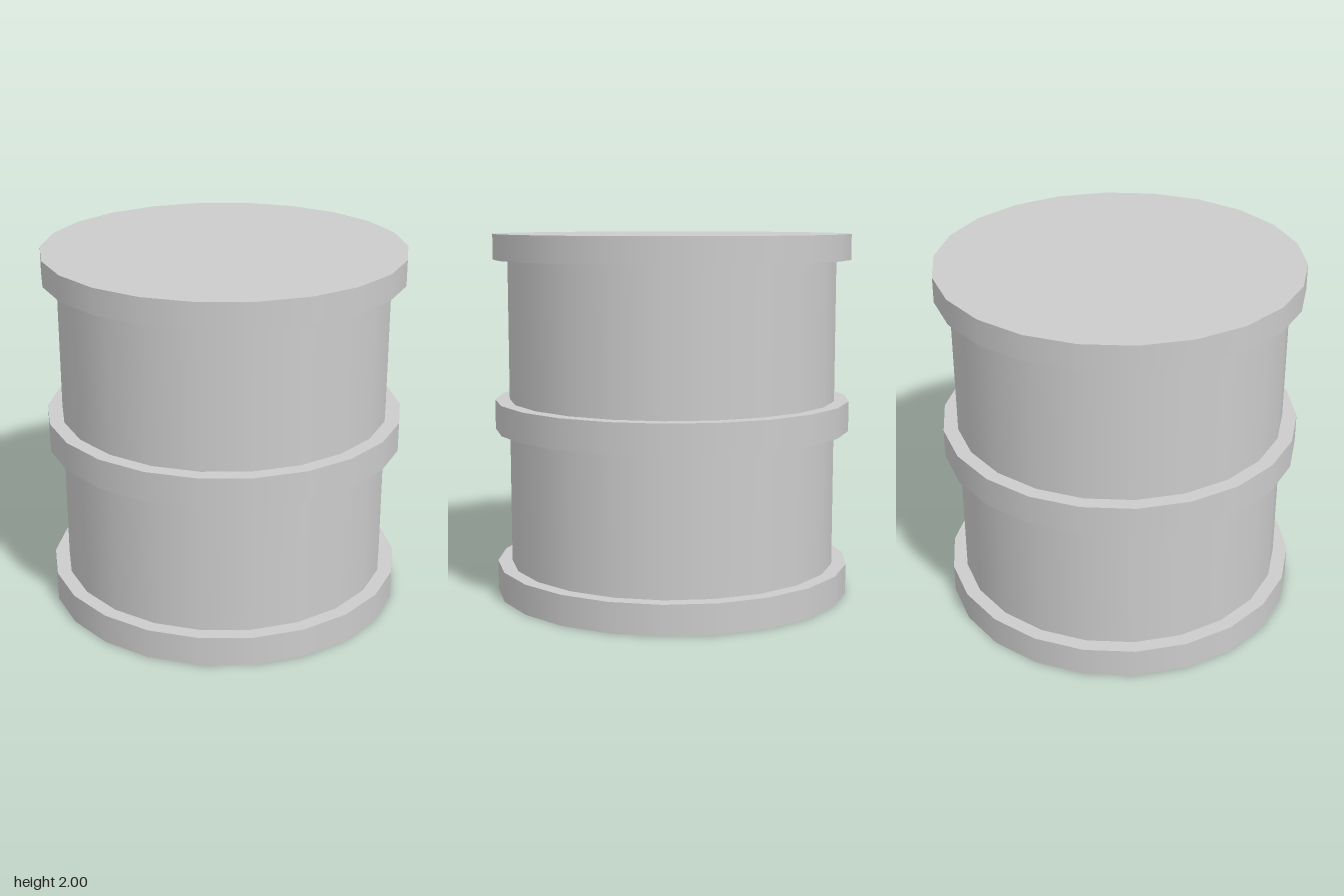
import * as THREE from 'three';

const SIDES = 22;

export function createModel() {
  const model = new THREE.Group();
  const material = new THREE.MeshStandardMaterial({ color: 0xcccccc });

  // Upright drum section between two heights, with a corner on each side (+x and -x)
  function addSection(name, radius, bottom, top, openEnded = false) {
    const geometry = new THREE.CylinderGeometry(
      radius, radius, top - bottom, SIDES, 1, openEnded, Math.PI / 2);
    const mesh = new THREE.Mesh(geometry, material);
    mesh.name = name;
    mesh.position.y = (bottom + top) / 2;
    model.add(mesh);
  }

  // Walls between the bands
  addSection('lowerWall', 0.91, 0.165, 0.92, true);
  addSection('upperWall', 0.91, 1.085, 1.86, true);

  // Wider bands at the base, middle and lid
  addSection('bottomBand', 0.99, 0, 0.165);
  addSection('middleBand', 0.99, 0.92, 1.085);
  addSection('topBand', 0.99, 1.86, 2);

  return model;
}
